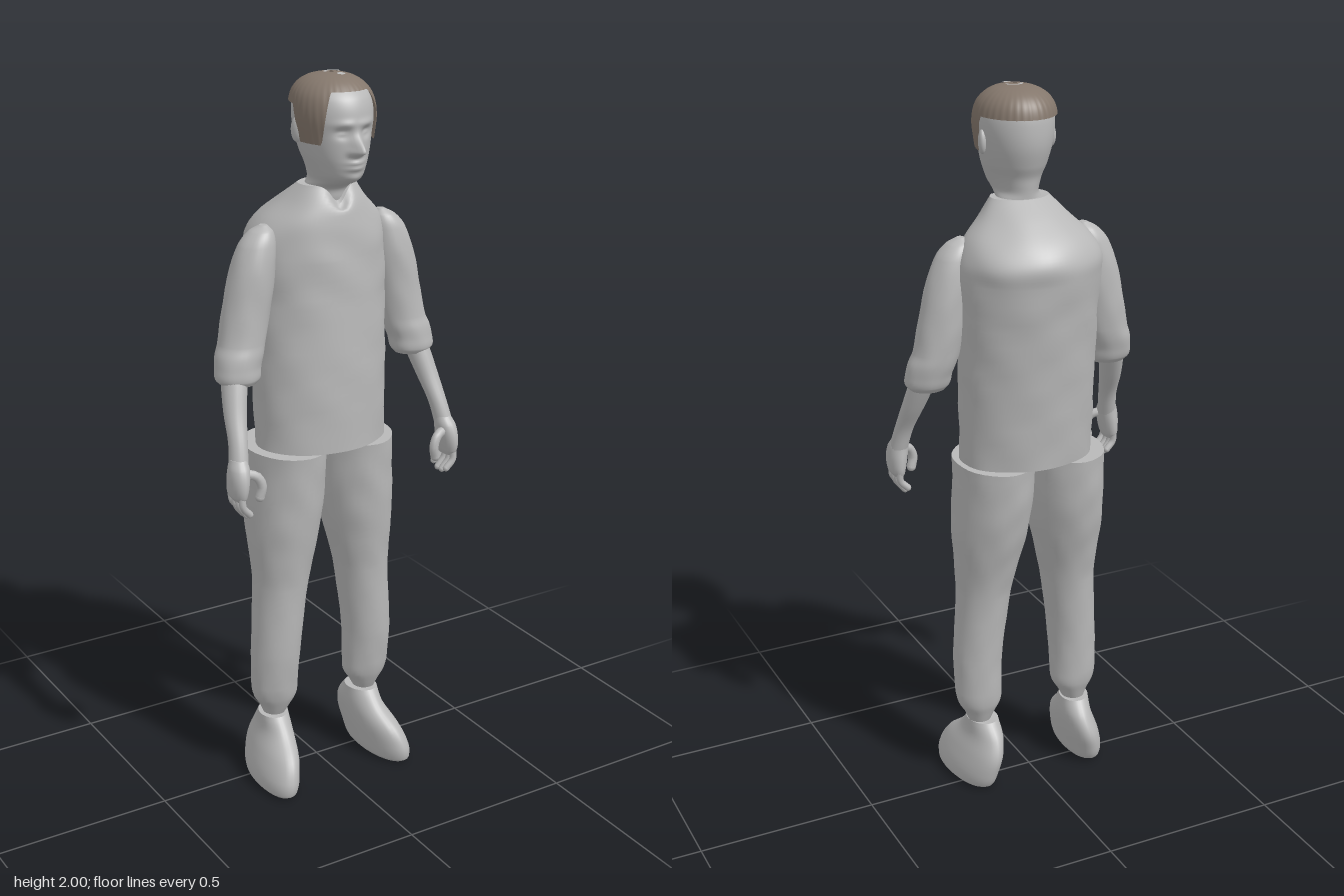
import * as THREE from 'three';

const mat = (name, color, side = THREE.FrontSide) => {
  const m = new THREE.MeshStandardMaterial({ color, side });
  m.name = name;
  return m;
};

// Smooth interpolation of cross-section rows, keyed on their first value (height)
function sample(rows, y) {
  let i = 0;
  while (i < rows.length - 2 && y > rows[i + 1][0]) i++;
  const a = rows[i], b = rows[i + 1], h = b[0] - a[0];
  const t = Math.min(1, Math.max(0, (y - a[0]) / h));
  const p = rows[Math.max(0, i - 1)], n = rows[Math.min(rows.length - 1, i + 2)];
  return a.map((v, k) => {
    if (k === 0) return y;
    const m0 = h * (b[k] - p[k]) / (b[0] - p[0]), m1 = h * (n[k] - v) / (n[0] - a[0]);
    const t2 = t * t, t3 = t2 * t;
    return (2 * t3 - 3 * t2 + 1) * v + (t3 - 2 * t2 + t) * m0 + (3 * t2 - 2 * t3) * b[k] + (t3 - t2) * m1;
  });
}

// Closed tube of rings, running bottom to top; point(phi, v) with phi = 0 at the front
function skin(point, cols, rows, caps = true) {
  const pos = [], index = [];
  for (let i = 0; i <= rows; i++)
    for (let j = 0; j < cols; j++) pos.push(...point((j / cols) * Math.PI * 2, i / rows));
  for (let i = 0; i < rows; i++)
    for (let j = 0; j < cols; j++) {
      const k = (j + 1) % cols, a = i * cols + j, b = i * cols + k;
      index.push(a, b, b + cols, a, b + cols, a + cols);
    }
  if (caps) for (const end of [0, rows]) {
    const base = pos.length / 3, c = [0, 0, 0];
    for (let j = 0; j < cols; j++) {
      const p = pos.slice((end * cols + j) * 3, (end * cols + j) * 3 + 3);
      pos.push(...p);
      p.forEach((v, k) => { c[k] += v / cols; });
    }
    pos.push(...c);
    for (let j = 0; j < cols; j++) {
      const a = base + j, b = base + (j + 1) % cols;
      index.push(base + cols, ...(end ? [a, b] : [b, a]));
    }
  }
  const g = new THREE.BufferGeometry();
  g.setAttribute('position', new THREE.Float32BufferAttribute(pos, 3));
  g.setIndex(index);
  g.computeVertexNormals();
  return g;
}

// Rows are [y, centre x, centre z, half width, half depth]
function loft(rows, { cols = 32, wrinkle = 0, warp = null } = {}) {
  const n = rows.length - 1, per = 5;
  return skin((phi, v) => {
    const f = v * n, i = Math.min(n - 1, Math.floor(f));
    const y = rows[i][0] + (rows[i + 1][0] - rows[i][0]) * (f - i);
    const [, cx, cz, rx, rz] = sample(rows, y);
    const w = 1 + wrinkle * (Math.sin(y * 52 + 2 * Math.sin(phi * 3)) + Math.sin(phi * 7 + y * 31)) * 0.5;
    const p = [cx + rx * w * Math.sin(phi), y, cz + rz * w * Math.cos(phi)];
    if (warp) warp(p);
    return p;
  }, cols, n * per);
}

const gauss = (d, w) => Math.exp(-(d * d) / (w * w));
const step = THREE.MathUtils.smoothstep;
const CX = 0.018;

// Head rows: [y, half width, front z, back z]
const HEAD = [
  [1.6, 0.058, 0.06, -0.035], [1.68, 0.06, 0.074, -0.036], [1.71, 0.06, 0.085, -0.036],
  [1.728, 0.056, 0.13, -0.037], [1.745, 0.061, 0.155, -0.039], [1.77, 0.07, 0.163, -0.043],
  [1.8, 0.081, 0.166, -0.056], [1.85, 0.093, 0.166, -0.07], [1.9, 0.1, 0.166, -0.072],
  [1.94, 0.095, 0.155, -0.066], [1.965, 0.08, 0.133, -0.05], [1.982, 0.055, 0.105, -0.022],
  [1.99, 0.026, 0.074, 0.012], [1.992, 0.005, 0.05, 0.038],
];

function headPoint(phi, y) {
  const [, rx, zf, zb] = sample(HEAD, y);
  const dx = rx * Math.sin(phi), c = Math.cos(phi);
  let z = (zf + zb) / 2 + ((zf - zb) / 2) * c;
  if (c > 0) {
    const ax = Math.abs(dx);
    z += 0.04 * gauss(dx, 0.014) * gauss(y - 1.818, y > 1.818 ? 0.03 : 0.012);   // nose
    z += 0.008 * gauss(ax - 0.016, 0.009) * gauss(y - 1.815, 0.01);              // nostrils
    z -= 0.013 * gauss(ax - 0.034, 0.017) * gauss(y - 1.862, 0.013);             // eye sockets
    z += 0.006 * gauss(ax - 0.034, 0.011) * gauss(y - 1.86, 0.006);              // eyelids
    z += 0.005 * gauss(ax - 0.03, 0.03) * gauss(y - 1.885, 0.01);                // brow
    z += 0.008 * gauss(dx, 0.024) * (gauss(y - 1.787, 0.007) + gauss(y - 1.772, 0.007)); // lips
    z += 0.006 * gauss(dx, 0.022) * gauss(y - 1.743, 0.012);                     // chin
  }
  return [CX + dx, y, z];
}

// Hairline: high over the brow, down at the temples, level round the back
function hairPoint(phi, v) {
  const a = Math.min(phi, Math.PI * 2 - phi) * 180 / Math.PI;
  const low = 1.958 - 0.123 * step(a, 34, 56) + 0.088 * step(a, 90, 97);
  const y = low + (1.992 - low) * (1 - (1 - v) ** 2);
  const p = headPoint(phi, y);
  const s = 1.07 + 0.008 * Math.sin(phi * 36) * (1 - v);
  return [CX + (p[0] - CX) * s, 1.88 + (p[1] - 1.88) * 1.07, 0.048 + (p[2] - 0.048) * s];
}

const TORSO = [
  [1.0, CX - 0.006, -0.002, 0.188, 0.142], [1.2, CX - 0.004, -0.012, 0.19, 0.152],
  [1.4, CX, -0.028, 0.192, 0.158], [1.52, CX, -0.038, 0.196, 0.162], [1.57, CX, -0.042, 0.194, 0.161],
  [1.62, CX, -0.03, 0.168, 0.143], [1.67, CX, -0.005, 0.118, 0.108], [1.715, CX, 0.02, 0.08, 0.062],
];
const LEG = [
  [0.19, 0.152, 0.008, 0.03, 0.032], [0.22, 0.15, 0.01, 0.044, 0.045], [0.25, 0.15, 0.011, 0.062, 0.056],
  [0.29, 0.152, 0.013, 0.067, 0.063], [0.4, 0.15, 0.018, 0.069, 0.073], [0.6, 0.132, 0.015, 0.076, 0.085],
  [0.7, 0.124, 0.01, 0.09, 0.102], [0.8, 0.116, 0.003, 0.103, 0.122], [0.9, 0.109, -0.002, 0.106, 0.135],
  [1.0, 0.106, -0.003, 0.106, 0.142],
];
const SHOE = [
  [0, 0.177, 0.055, 0.046, 0.115], [0.012, 0.177, 0.053, 0.055, 0.132], [0.05, 0.172, 0.046, 0.058, 0.14],
  [0.1, 0.16, 0.03, 0.054, 0.13], [0.15, 0.148, 0.01, 0.046, 0.09], [0.195, 0.148, 0.008, 0.042, 0.052],
];
const SLEEVE = [
  [1.215, 0.272, 0.042, 0.048, 0.043], [1.23, 0.273, 0.04, 0.061, 0.054], [1.26, 0.27, 0.035, 0.063, 0.058],
  [1.29, 0.262, 0.03, 0.066, 0.061], [1.32, 0.252, 0.025, 0.064, 0.06], [1.4, 0.235, 0.02, 0.065, 0.061],
  [1.5, 0.216, 0.02, 0.061, 0.06], [1.57, 0.2, 0.02, 0.05, 0.05], [1.605, 0.188, 0.02, 0.032, 0.035],
  [1.622, 0.18, 0.02, 0.01, 0.012],
];
const FOREARM = [
  [1.01, 0.326, 0.142, 0.025, 0.03], [1.08, 0.315, 0.12, 0.025, 0.028], [1.15, 0.303, 0.085, 0.03, 0.033],
  [1.22, 0.288, 0.055, 0.034, 0.038], [1.26, 0.278, 0.04, 0.034, 0.038],
];
const PALM = [
  [0.935, 0.33, 0.146, 0.012, 0.03], [0.95, 0.332, 0.147, 0.02, 0.041], [0.985, 0.33, 0.148, 0.026, 0.043],
  [1.02, 0.326, 0.145, 0.027, 0.036], [1.045, 0.322, 0.136, 0.022, 0.026],
];

export function createModel() {
  const model = new THREE.Group();
  const grey = mat('plain grey', 0xb8b8b8), brown = mat('hair brown', 0x84776c, THREE.DoubleSide);
  const add = (name, geo, m = grey, parent = model) => {
    const mesh = new THREE.Mesh(geo, m);
    mesh.name = name;
    parent.add(mesh);
    return mesh;
  };

  // Shirt with a dipped neckline
  add('shirt', loft(TORSO, {
    cols: 64, wrinkle: 0.012,
    warp: (p) => {
      if (p[2] > 0.02) p[1] -= 0.05 * gauss(p[0] - CX, 0.028) * step(p[1], 1.64, 1.715);
    },
  }));

  // Head, hair and small bare patches on the crown
  add('headAndNeck', skin((phi, v) => headPoint(phi, 1.6 + 0.392 * (1 - (1 - v) ** 1.35)), 96, 110));
  add('hair', skin(hairPoint, 144, 24, false), brown);
  const arc = add('crownPatch', new THREE.RingGeometry(0.017, 0.025, 20, 1, 0.1, Math.PI - 0.2));
  arc.position.set(0.022, 1.9998, 0.045);
  arc.rotation.x = -Math.PI / 2;
  const spot = add('crownSpot', new THREE.CircleGeometry(0.011, 12));
  spot.position.set(0.026, 1.9985, 0.077);
  spot.rotation.x = -Math.PI / 2 + 0.1;

  for (const s of [1, -1]) {
    const side = s > 0 ? 'left' : 'right';
    const place = (rows, off) => rows.map(([y, x, ...r]) => [y, s * x + off, ...r]);

    const ear = add(side + 'Ear', new THREE.SphereGeometry(1, 16, 12));
    ear.scale.set(0.011, 0.032, 0.018);
    ear.position.set(CX + s * 0.098, 1.86, 0.035);
    ear.rotation.y = s * -0.3;

    // Trouser leg and shoe, toe turned out
    add(side + 'TrouserLeg', loft(place(LEG, 0.004), { wrinkle: 0.012 }));
    add(side + 'Shoe', loft(place(SHOE, -0.002), { warp: (p) => { p[0] += s * p[2] * 0.08; } }));

    // Arm
    add(side + 'Sleeve', loft(place(SLEEVE, 0.008), { wrinkle: 0.015 }));
    add(side + 'Forearm', loft(place(FOREARM, 0.004), { cols: 20 }));

    // Hand with curled fingers and thumb
    const hand = new THREE.Group();
    hand.name = side + 'Hand';
    model.add(hand);
    add('palm', loft(place(PALM, 0.002), { cols: 20 }), grey, hand);
    const digit = (name, r, pts) => {
      const path = new THREE.CatmullRomCurve3(pts.map(([x, y, z]) => new THREE.Vector3(s * x + 0.002, y, z)));
      add(name, new THREE.TubeGeometry(path, 10, r, 10), grey, hand);
      add(name + 'Tip', new THREE.SphereGeometry(r, 10, 8), grey, hand).position.copy(path.getPoint(1));
    };
    for (let i = 0; i < 4; i++) {
      const z = 0.116 + i * 0.02, drop = [0.012, 0, 0, 0.008][i];
      digit('finger', 0.0095, [[0.334, 0.955, z], [0.332, 0.92 + drop / 2, z + 0.002], [0.312, 0.892 + drop, z]]);
    }
    digit('thumb', 0.013, [[0.322, 1.01, 0.155], [0.285, 0.998, 0.168], [0.272, 0.97, 0.172], [0.278, 0.94, 0.17]]);
  }
  return model;
}
